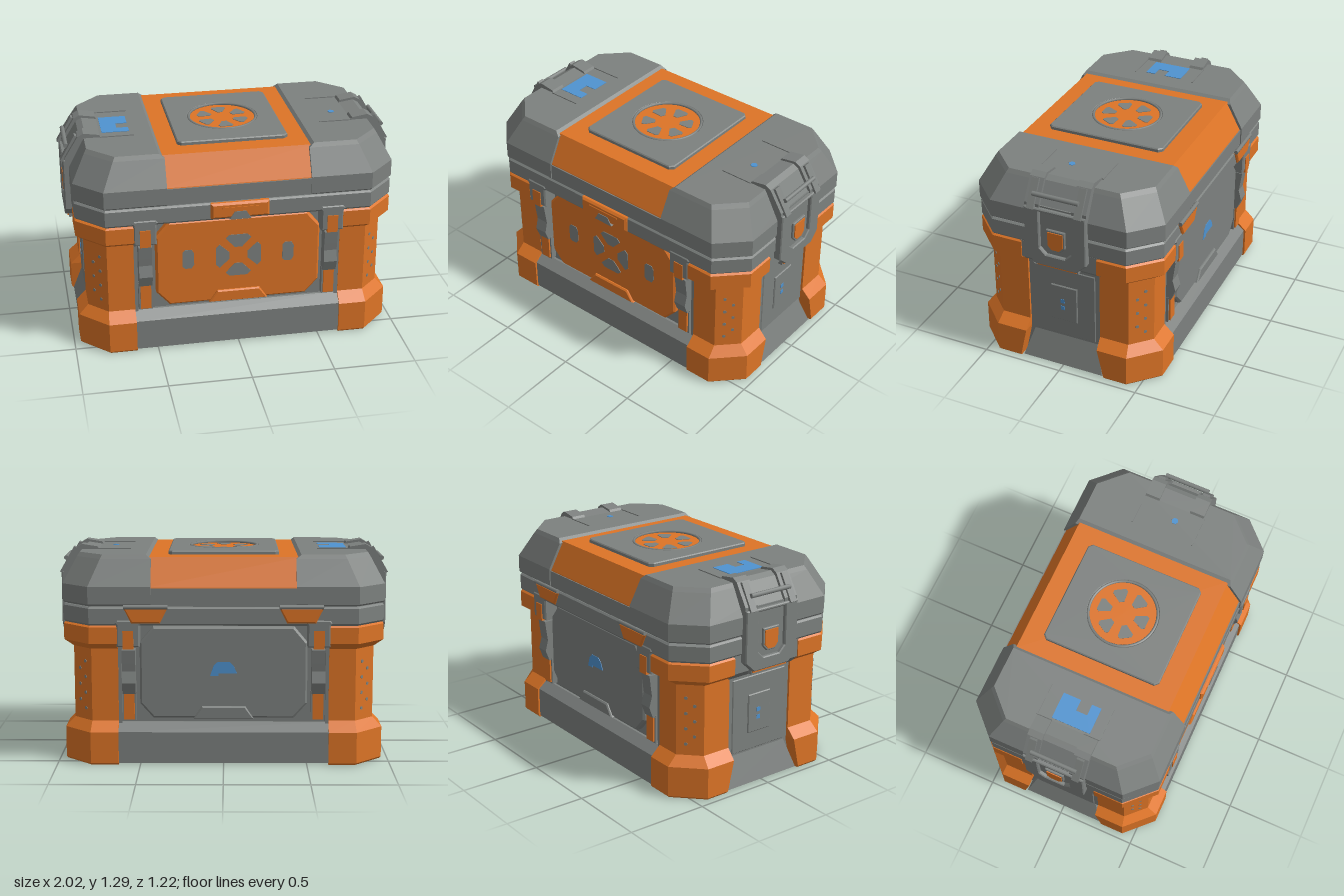
import * as THREE from 'three';

const mat = (name, color) => {
  const m = new THREE.MeshStandardMaterial({ color });
  m.name = name;
  return m;
};

export function createModel() {
  const root = new THREE.Group();
  root.name = 'storageChest';
  const orange = mat('orange', 0xdd7426);
  const grey = mat('grey', 0x7d817f);
  const blue = mat('blue', 0x4f93d0);

  const add = (name, geo, material, parent = root) => {
    const m = new THREE.Mesh(geo, material);
    m.name = name;
    parent.add(m);
    return m;
  };
  const group = (name, turn = 0, parent = root) => {
    const g = new THREE.Group();
    g.name = name;
    g.rotation.y = turn;
    parent.add(g);
    return g;
  };

  // Stacks convex plan outlines [y, [[x, z], ...]] into a closed faceted solid
  const loft = (rings) => {
    const pos = [];
    const R = rings.map(([y, pts]) => {
      const s = pts.reduce((a, p, i) => {
        const q = pts[(i + 1) % pts.length];
        return a + p[0] * q[1] - q[0] * p[1];
      }, 0);
      return (s > 0 ? [...pts].reverse() : pts).map(([x, z]) => [x, y, z]);
    });
    const tri = (a, b, c) => pos.push(...a, ...b, ...c);
    const n = R[0].length, last = R[R.length - 1];
    for (let k = 0; k + 1 < R.length; k++)
      for (let i = 0; i < n; i++) {
        const j = (i + 1) % n;
        tri(R[k][i], R[k][j], R[k + 1][j]);
        tri(R[k][i], R[k + 1][j], R[k + 1][i]);
      }
    for (let i = 1; i < n - 1; i++) {
      tri(last[0], last[i], last[i + 1]);
      tri(R[0][0], R[0][i + 1], R[0][i]);
    }
    const g = new THREE.BufferGeometry();
    g.setAttribute('position', new THREE.Float32BufferAttribute(pos, 3));
    g.computeVertexNormals();
    return g;
  };
  const rect = (y, x, z) => [y, [[x, z], [x, -z], [-x, -z], [-x, z]]];
  const oct = (y, x, z, c) => [y, [[x - c, z], [x, z - c], [x, c - z], [x - c, -z],
    [c - x, -z], [-x, c - z], [-x, z - c], [c - x, z]]];

  // Extruded outline with optional hole, facing +z, from z0 to z1
  const vecs = (pts) => pts.map(([x, y]) => new THREE.Vector2(x, y));
  const slab = (pts, z0, z1, bevel = 0, hole = null) => {
    const shape = new THREE.Shape(vecs(pts));
    if (hole) shape.holes.push(hole);
    return new THREE.ExtrudeGeometry(shape, {
      depth: z1 - z0 - bevel, bevelEnabled: bevel > 0, bevelSize: bevel, bevelThickness: bevel,
      bevelOffset: -bevel, bevelSegments: 1, curveSegments: 32,
    }).translate(0, 0, z0);
  };
  const box = (x0, x1, y0, y1, z0, z1) => new THREE.BoxGeometry(x1 - x0, y1 - y0, z1 - z0)
    .translate((x0 + x1) / 2, (y0 + y1) / 2, (z0 + z1) / 2);
  const toSide = (g) => g.rotateY(Math.PI / 2);   // +z facing -> +x facing
  const toTop = (g) => g.rotateX(-Math.PI / 2);   // +z facing -> +y facing

  // Body core and grey skirts
  add('bodyCore', loft([oct(0.005, 0.88, 0.505, 0.115), oct(0.86, 0.88, 0.505, 0.115)]), grey);
  add('longSkirt', loft([rect(0.01, 0.632, 0.58), rect(0.2, 0.632, 0.58), rect(0.25, 0.632, 0.52)]), grey);
  add('endSkirt', loft([rect(0.01, 0.95, 0.262), rect(0.19, 0.893, 0.207)]), grey);
  add('endCollar', loft([rect(0.69, 0.9, 0.245), rect(0.74, 0.955, 0.245), rect(0.85, 0.955, 0.245)]), grey);

  // Orange corner posts with flared foot and collar
  const levels = [[0, 0.952, 0.582, 0.278, 0.16], [0.012, 0.962, 0.592, 0.276, 0.165],
    [0.2, 0.962, 0.592, 0.235, 0.165], [0.26, 0.905, 0.53, 0.232, 0.115], [0.7, 0.905, 0.53, 0.232, 0.115],
    [0.74, 0.962, 0.592, 0.24, 0.165], [0.838, 0.962, 0.592, 0.24, 0.165], [0.848, 0.952, 0.582, 0.24, 0.165]];
  for (const sx of [-1, 1]) for (const sz of [-1, 1]) {
    add('cornerPost', loft(levels.map(([y, x, z, z0, c]) => [y,
      [[0.63, z0], [0.63, z], [x - c, z], [x, z - c], [x, z0]].map(([a, b]) => [a * sx, b * sz])])), orange);
    for (let i = 0; i < 7; i++) {
      const off = i % 2 ? 0.018 : -0.018;
      const dot = add('postVent', new THREE.CylinderGeometry(0.011, 0.011, 0.006, 6).rotateX(Math.PI / 2), grey);
      dot.position.set(sx * (0.8475 + off), 0.33 + i * 0.048, sz * (0.4725 - off));
      dot.rotation.y = Math.atan2(sx, sz);
    }
  }

  // Long faces: panel, latches and frame, repeated front and back
  const panel = [[-0.5, 0.37], [-0.42, 0.28], [0.42, 0.28], [0.5, 0.37], [0.5, 0.74], [0.42, 0.835], [-0.42, 0.835], [-0.5, 0.74]];
  const strap = [[0.5, 0.43], [0.558, 0.43], [0.584, 0.5], [0.565, 0.57], [0.572, 0.62], [0.582, 0.7], [0.5, 0.7]];
  const longFace = (name, turn, panelMat) => {
    const g = group(name, turn);
    add('panel', slab(panel, 0.5, 0.55, 0.012), panelMat, g);
    add('panelNotch', slab([[-0.18, 0.28], [0.18, 0.28], [0.13, 0.355], [-0.13, 0.355]], 0.5, 0.565, 0.008), panelMat, g);
    for (const s of [-1, 1]) {
      const l = group('latch', 0, g);
      l.position.x = s * 0.565;
      add('latchBracket', slab([[-0.068, 0.72], [0.068, 0.72], [0.068, 0.85], [0.08, 0.865], [0.065, 0.882],
        [-0.065, 0.882], [-0.08, 0.865], [-0.068, 0.85]], 0.5, 0.596, 0.008), grey, l);
      add('latchTab', slab([[-0.032, 0.71], [0.032, 0.71], [0.032, 0.82], [-0.032, 0.82]], 0.56, 0.601), orange, l);
      add('latchStrap', toSide(slab(strap.map(([z, y]) => [-z, y]), -0.04, 0.04)), grey, l);
      add('lowerLatchBase', box(-0.042, 0.042, 0.262, 0.44, 0.5, 0.542), grey, l);
      add('lowerLatchTab', box(-0.032, 0.032, 0.272, 0.43, 0.5, 0.553), orange, l);
      add('frameStrip', box(s * 0.055 - 0.01, s * 0.055 + 0.01, 0.24, 0.85, 0.5, 0.528), grey, l);
    }
    return g;
  };
  const front = longFace('frontFace', 0, orange);
  const back = longFace('backFace', Math.PI, grey);

  // Panel markings
  for (let i = 0; i < 4; i++) {
    const m = add('panelMark', slab([[-0.022, 0.055], [0.022, 0.055], [0.078, 0.115], [0.055, 0.138],
      [-0.055, 0.138], [-0.078, 0.115]], 0.549, 0.553), grey, front);
    m.position.y = 0.585;
    m.rotation.z = i * Math.PI / 2;
  }
  for (const s of [-1, 1])
    add('panelSideMark', slab([[-0.035, 0.535], [-0.02, 0.52], [0.02, 0.52], [0.035, 0.545], [0.035, 0.62],
      [0.02, 0.645], [-0.02, 0.645], [-0.035, 0.63]], 0.549, 0.553), grey, front).position.x = s * 0.305;
  add('backMark', slab([[-0.08, 0.54], [-0.03, 0.54], [-0.03, 0.555], [0.08, 0.555], [0.06, 0.6], [0.035, 0.625],
    [-0.035, 0.625], [-0.06, 0.6]], 0.549, 0.553), blue, back);

  // End panels
  for (const turn of [0, Math.PI]) {
    const g = group('endPanel', turn);
    add('endPlate', box(0.85, 0.893, 0.19, 0.695, -0.23, 0.23), grey, g);
    add('endPlateRaised', toSide(slab([[-0.2, 0.2], [0.2, 0.2], [0.2, 0.67], [-0.2, 0.67]], 0.88, 0.898, 0.005)), grey, g);
    add('endHatch', toSide(slab([[-0.085, 0.31], [0.085, 0.31], [0.085, 0.555], [-0.085, 0.555]], 0.89, 0.906, 0.005)), grey, g);
    for (const y of [0.402, 0.45])
      add('endLight', box(0.904, 0.909, y - 0.013, y + 0.013, -0.004, 0.022), blue, g);
  }

  // Lid rim and lower lid
  add('lidRim', loft([oct(0.848, 0.952, 0.58, 0.16), oct(0.86, 0.962, 0.59, 0.165),
    oct(0.95, 0.962, 0.59, 0.165), oct(0.96, 0.952, 0.58, 0.16)]), grey);
  add('lidSeam', loft([oct(0.95, 0.945, 0.572, 0.16), oct(0.985, 0.945, 0.572, 0.16)]), grey);
  add('lidMiddle', loft([rect(0.968, 0.46, 0.588), rect(1.07, 0.46, 0.588)]), grey);
  add('lidBand', loft([rect(1.06, 0.45, 0.585), rect(1.075, 0.45, 0.58), rect(1.245, 0.45, 0.488)]), orange);
  for (const s of [-1, 1]) {
    const ring = (y, xin, x, z, c) => [y, [[xin, z], [x - c, z], [x, z - c], [x, c - z], [x - c, -z], [xin, -z]]
      .map(([a, b]) => [a * s, b])];
    add('lidEnd', loft([ring(0.966, 0.43, 0.955, 0.585, 0.16), ring(0.976, 0.43, 0.965, 0.595, 0.165),
      ring(1.08, 0.43, 0.965, 0.595, 0.165), ring(1.235, 0.43, 0.883, 0.513, 0.152),
      ring(1.26, 0.46, 0.868, 0.498, 0.15)]), grey);
  }

  // Top plate with a wheel-shaped inset
  add('topPlate', toTop(slab([[-0.31, -0.37], [0.31, -0.37], [0.333, -0.347], [0.333, 0.347],
    [0.31, 0.37], [-0.31, 0.37], [-0.333, 0.347], [-0.333, -0.347]], 1.24, 1.268, 0.006,
  new THREE.Path().absarc(0, 0, 0.212, 0, Math.PI * 2, true))), grey);
  add('wheelRim', new THREE.TorusGeometry(0.207, 0.009, 6, 48).rotateX(Math.PI / 2).translate(0, 1.263, 0), grey);
  add('wheelDisc', new THREE.CylinderGeometry(0.205, 0.205, 0.02, 48).translate(0, 1.248, 0), orange);
  for (let i = 0; i < 6; i++)
    add('wheelOpening', toTop(slab([[-0.015, 0.075], [0.015, 0.075], [0.045, 0.138], [0.035, 0.155],
      [-0.035, 0.155], [-0.045, 0.138]], 1.256, 1.261)), grey).rotation.y = i * Math.PI / 3;
  add('topBluePatch', toTop(slab([[-0.755, 0.11], [-0.755, -0.13], [-0.59, -0.13], [-0.59, -0.07], [-0.66, -0.07],
    [-0.66, 0], [-0.59, 0], [-0.59, 0.11]], 1.258, 1.263)), blue);
  add('topBlueDot', new THREE.CylinderGeometry(0.021, 0.021, 0.005, 6).translate(0.68, 1.261, 0.04), blue);

  // End clasps wrapping from lid top to body
  const hood = [[0.755, 1.24], [0.775, 1.275], [0.87, 1.29], [0.905, 1.27], [0.985, 1.14], [0.985, 1.09], [0.93, 1.09], [0.84, 1.24]];
  const shield = (k) => [[-0.048, 0.977], [-0.048, 0.89], [-0.024, 0.863], [0.024, 0.863], [0.048, 0.89], [0.048, 0.977]]
    .map(([x, y]) => [x * k, 0.92 + (y - 0.92) * k]);
  for (const turn of [0, Math.PI]) {
    const g = group('endClasp', turn);
    for (const s of [-1, 1]) {
      add('hoodRail', slab(hood, s * 0.147 - 0.046, s * 0.147 + 0.046), grey, g);
      const ear = add('handleEar', new THREE.BoxGeometry(0.04, 0.18, 0.045), grey, g);
      ear.position.set(0.95, 1.185, s * 0.148);
      ear.rotation.z = 0.52;
      add('topRidge', box(0.57, 0.77, 1.25, 1.266, s * 0.197 - 0.004, s * 0.197 + 0.004), grey, g);
    }
    add('hoodCentre', slab(hood.map(([x, y]) => [x - 0.012, y - 0.016]), -0.105, 0.105), grey, g);
    add('handleBar', new THREE.CylinderGeometry(0.014, 0.014, 0.29, 10).rotateX(Math.PI / 2).translate(0.975, 1.2, 0), grey, g);
    const recess = new THREE.Path(vecs([[-0.06, 0.82], [-0.1, 0.86], [-0.1, 1.1], [0.1, 1.1], [0.1, 0.86], [0.06, 0.82]]));
    add('claspFace', toSide(slab([[-0.13, 0.745], [0.13, 0.745], [0.193, 0.805], [0.193, 1.12], [-0.193, 1.12],
      [-0.193, 0.805]], 0.95, 1, 0.006, recess)), grey, g);
    add('claspFloor', box(0.93, 0.977, 0.8, 1.13, -0.11, 0.11), grey, g);
    add('claspFoot', box(0.94, 0.975, 0.72, 0.75, -0.13, 0.13), grey, g);
    add('claspStripe', box(0.95, 0.985, 0.732, 0.752, -0.125, 0.125), orange, g);
    add('buttonFrame', toSide(slab(shield(1.22), 0.97, 0.991, 0.004)), grey, g);
    add('button', toSide(slab(shield(1), 0.98, 0.997)), orange, g);
  }

  // Front lid clasp and rear hinges
  add('frontClasp', slab([[-0.175, 0.862], [0.175, 0.862], [0.175, 0.96], [-0.175, 0.96]], 0.56, 0.608, 0.012), orange);
  add('frontClaspNotch', slab([[-0.065, 0.855], [0.065, 0.855], [0.035, 0.905], [-0.035, 0.905]], 0.57, 0.612), grey);
  add('frontClaspLip', box(-0.11, 0.11, 0.926, 0.934, 0.6, 0.612), orange);
  for (const s of [-1, 1]) {
    const h = group('hinge', Math.PI);
    h.position.x = s * 0.46;
    add('hingePlate', slab([[-0.085, 0.865], [0.085, 0.865], [0.13, 0.955], [-0.13, 0.955]], 0.56, 0.606, 0.01), orange, h);
    add('hingePin', new THREE.CylinderGeometry(0.013, 0.013, 0.26, 10).rotateZ(Math.PI / 2).translate(0, 0.962, 0.6), grey, h);
  }
  return root;
}
